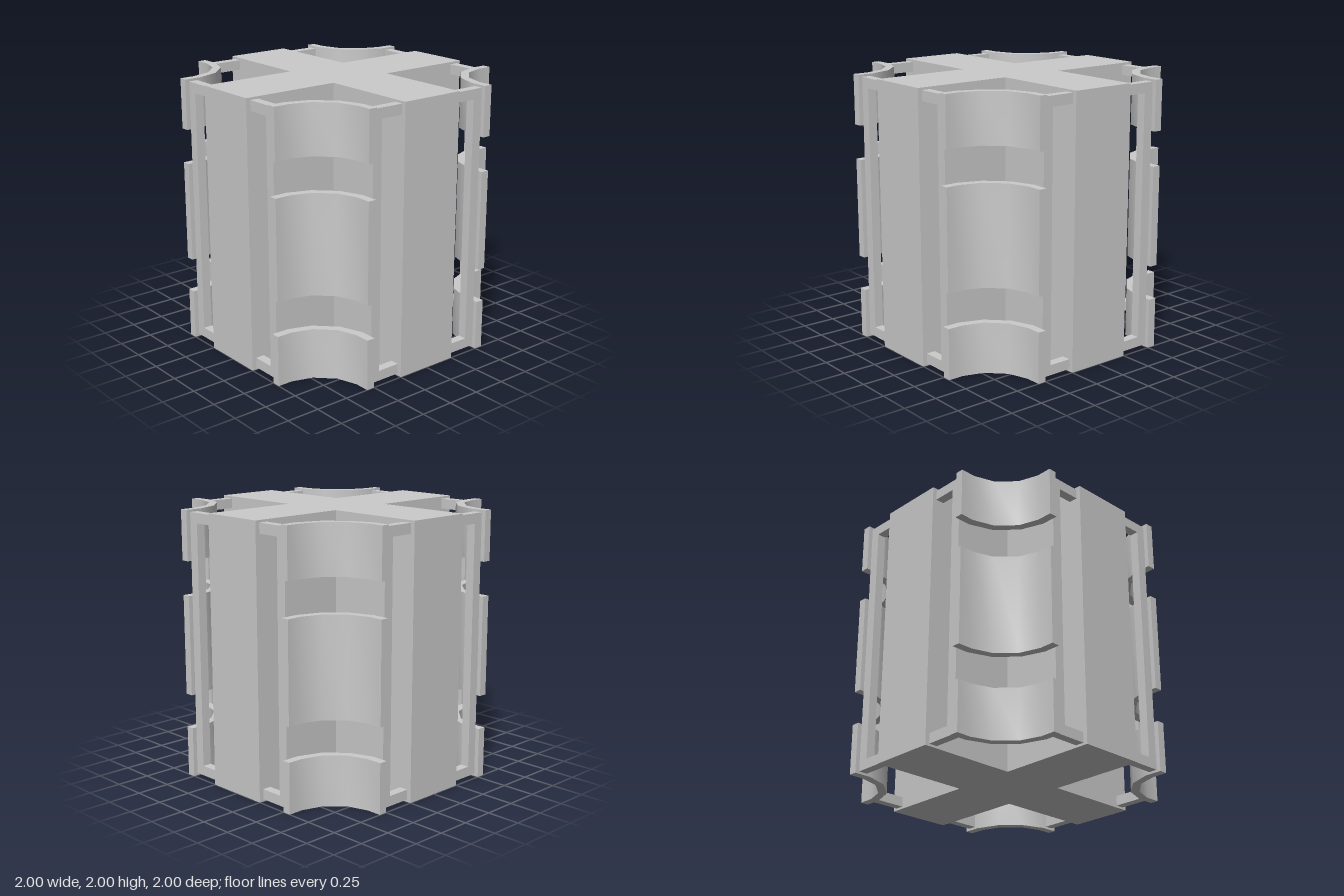
import * as THREE from 'three';
import { toCreasedNormals } from 'three/addons/utils/BufferGeometryUtils.js';

const material = new THREE.MeshStandardMaterial({ color: 0xcccccc, side: THREE.DoubleSide });

const shapeOf = (points) => new THREE.Shape(points.map(([x, y]) => new THREE.Vector2(x, y)));

// Extrudes a plan outline upward from y0 to y1
function upright(shape, y0, y1) {
  const geometry = new THREE.ExtrudeGeometry(shape, { depth: y1 - y0, bevelEnabled: false });
  geometry.rotateX(-Math.PI / 2).translate(0, y0, 0);
  return toCreasedNormals(geometry, Math.PI / 5);
}

function addMesh(parent, name, geometry) {
  const mesh = new THREE.Mesh(geometry, material);
  mesh.name = name;
  parent.add(mesh);
}

export function createModel() {
  const model = new THREE.Group();
  model.name = 'crossBlock';

  // Solid cross-shaped core, full height
  const a = 0.25;
  const cross = shapeOf([
    [a, -1], [a, -a], [1, -a], [1, a], [a, a], [a, 1],
    [-a, 1], [-a, a], [-1, a], [-1, -a], [-a, -a], [-a, -1],
  ]);
  addMesh(model, 'crossCore', upright(cross, 0, 2));

  // Concave corner panel in plan: half a side, mirrored over the diagonal
  const mirrored = (half) => [...half, ...half.map(([x, y]) => [y, x]).reverse()];
  const inner = mirrored([[0.5, 1], [0.5, 0.87], [0.56, 0.7]]);
  const outer = mirrored([[0.5625, 1], [0.5625, 0.885], [0.61, 0.735]]);
  const panelShape = shapeOf([...inner, ...outer.reverse()]);
  const panels = [[0, 0.375], [0.63, 1.375], [1.63, 2]]
    .map(([y0, y1]) => upright(panelShape, y0, y1));

  // Rectangular frame that passes through each arm of the core
  const frameShape = shapeOf([[-0.5, 0.017], [0.5, 0.017], [0.5, 1.983], [-0.5, 1.983]]);
  frameShape.holes.push(shapeOf([[-0.425, 0.092], [-0.425, 1.908], [0.425, 1.908], [0.425, 0.092]]));
  const frame = new THREE.ExtrudeGeometry(frameShape, { depth: 0.067, bevelEnabled: false });
  frame.translate(0, 0, 0.9);

  // Repeat frame and panels around the four sides
  for (let i = 0; i < 4; i++) {
    const side = new THREE.Group();
    side.name = 'side' + (i + 1);
    side.rotation.y = (i * Math.PI) / 2;
    addMesh(side, 'armFrame', frame);
    ['lowerCornerPanel', 'middleCornerPanel', 'upperCornerPanel']
      .forEach((name, k) => addMesh(side, name, panels[k]));
    model.add(side);
  }
  return model;
}
